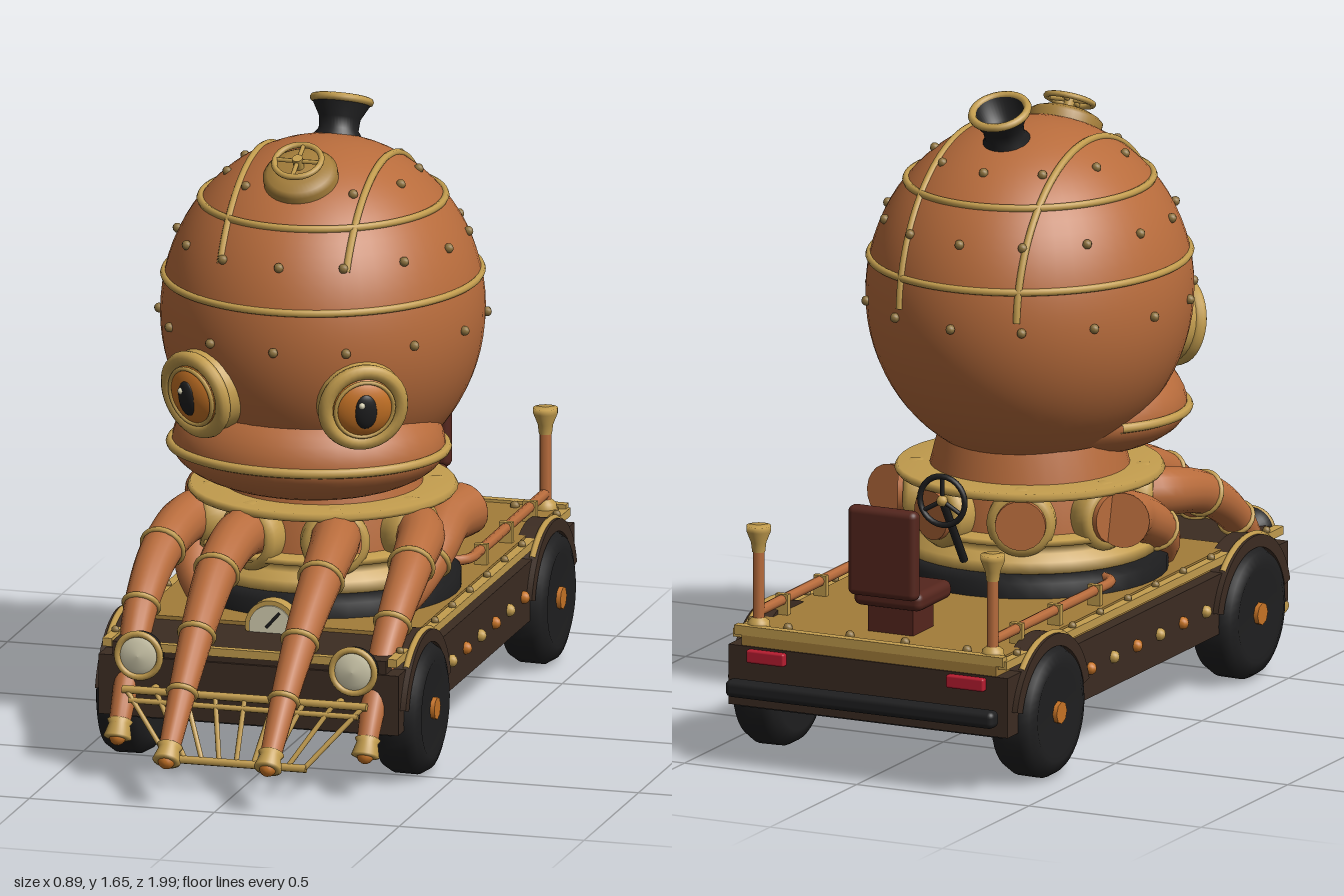
import * as THREE from 'three';
import { RoundedBoxGeometry } from 'three/addons/geometries/RoundedBoxGeometry.js';

const V = (x, y, z) => new THREE.Vector3(x, y, z);
const Y = V(0, 1, 0), Z = V(0, 0, 1);

function material(name, color) {
  const m = new THREE.MeshStandardMaterial({ color });
  m.name = name;
  return m;
}

export function createModel() {
  const copper = material('copper', 0xb86c3c), gold = material('gold', 0xc39d4e);
  const brass = material('deck brass', 0xa37d3a), rivetMat = material('dull rivet', 0x8f7440);
  const brown = material('dark wood', 0x3c2c22), black = material('black', 0x1f1f20);
  const leather = material('leather', 0x55261d), cream = material('cream', 0xd6d0b2);
  const red = material('red', 0xb81c30), orange = material('orange', 0xc87426);
  const model = new THREE.Group();
  model.name = 'octopusCar';

  const add = (name, geo, mat, pos = [0, 0, 0], rot = [0, 0, 0], parent = model) => {
    const m = new THREE.Mesh(geo, mat);
    m.name = name;
    m.position.set(...pos);
    m.rotation.set(...rot);
    parent.add(m);
    return m;
  };
  const group = (name, pos, from, dir) => {
    const g = new THREE.Group();
    g.name = name;
    g.position.copy(pos);
    g.quaternion.setFromUnitVectors(from, dir.clone().normalize());
    model.add(g);
    return g;
  };
  const box = (name, w, h, d, mat, pos) => add(name, new THREE.BoxGeometry(w, h, d), mat, pos);
  const rounded = (name, w, h, d, r, mat, pos) => add(name, new RoundedBoxGeometry(w, h, d, 3, r), mat, pos);
  const tube = (name, pts, r, mat, seg = 32, closed = false) =>
    add(name, new THREE.TubeGeometry(new THREE.CatmullRomCurve3(pts, closed), seg, r, 8, closed), mat);
  const bar = (name, a, b, r, mat) => {
    const d = b.clone().sub(a), g = group(name, a.clone().lerp(b, 0.5), Y, d);
    add(name, new THREE.CylinderGeometry(r, r, d.length(), 8), mat, [0, 0, 0], [0, 0, 0], g);
  };
  const lathe = (name, pts, mat, parent = model, pos = [0, 0, 0]) =>
    add(name, new THREE.LatheGeometry(pts.map(p => new THREE.Vector2(...p)), 40), mat, pos, [0, 0, 0], parent);
  const rivetGeo = new THREE.SphereGeometry(1, 8, 6);
  const rivet = (p, r, mat = rivetMat) => add('rivet', rivetGeo, mat, p).scale.setScalar(r);

  // Head
  const R = V(0.42, 0.455, 0.455), CY = 1.1;
  add('head', new THREE.SphereGeometry(1, 56, 40), copper, [0, CY, 0]).scale.copy(R);
  const ringScale = y => Math.sqrt(1 - ((y - CY) / R.y) ** 2);
  const onHead = (y, a, k = 1) => V(R.x * ringScale(y) * k * Math.sin(a), y, R.z * ringScale(y) * k * Math.cos(a));
  for (const y of [1.2, 1.4]) {
    const pts = [];
    for (let i = 0; i < 48; i++) pts.push(onHead(y, i / 48 * Math.PI * 2));
    tube('headBand', pts, 0.01, gold, 96, true);
  }
  for (const [y, n] of [[1.095, 14], [1.31, 14], [1.47, 10]])
    for (let i = 0; i < n; i++) rivet(onHead(y, i / n * Math.PI * 2, 1.01).toArray(), 0.013);
  for (const s of [-1, 1]) {
    const pts = [], k = Math.sqrt(1 - (0.17 / R.x) ** 2) * R.y;
    for (let i = 0; i <= 24; i++) {
      const a = 0.5 + (Math.PI - 0.55) * i / 24;
      pts.push(V(s * 0.17, CY + k * Math.sin(a), k * Math.cos(a)));
    }
    tube('headSeam', pts, 0.01, gold, 48);
  }

  // Jaw bulge with a lip band around its front
  const jaw = (name, ry, start) =>
    add(name, new THREE.SphereGeometry(1, 40, 14, 0, Math.PI * 2, start, Math.PI / 2), copper, [0, 0.77, 0.13])
      .scale.set(0.36, ry, 0.315);
  jaw('upperJaw', 0.2, 0);
  jaw('lowerJaw', 0.13, Math.PI / 2);
  const lip = [];
  for (let i = 0; i <= 24; i++) {
    const a = (i / 24 - 0.5) * Math.PI * 1.4;
    lip.push(V(0.362 * Math.sin(a), 0.77, 0.13 + 0.315 * Math.cos(a)));
  }
  tube('lipBand', lip, 0.013, gold, 48);

  // Eyes
  for (const s of [-1, 1]) {
    const eye = group('eye', V(s * 0.212, 0.957, 0.375), Z, V(s * 0.48, -0.17, 0.85));
    add('eyeSocket', new THREE.CylinderGeometry(0.108, 0.115, 0.06, 32, 1, true), gold, [0, 0, 0], [Math.PI / 2, 0, 0], eye);
    add('eyeRim', new THREE.TorusGeometry(0.1, 0.02, 10, 36), gold, [0, 0, 0.03], [0, 0, 0], eye);
    add('iris', new THREE.SphereGeometry(0.086, 28, 16), orange, [0, 0, 0.025], [0, 0, 0], eye).scale.z = 0.5;
    add('irisRim', new THREE.TorusGeometry(0.077, 0.006, 6, 32), gold, [0, 0, 0.047], [0, 0, 0], eye);
    add('pupil', new THREE.SphereGeometry(1, 20, 14), black, [0, 0, 0.06], [0, 0, 0], eye).scale.set(0.031, 0.048, 0.014);
    add('glint', new THREE.SphereGeometry(0.009, 8, 6), cream, [-0.012, 0.022, 0.07], [0, 0, 0], eye);
  }

  // Chimney and hatch
  const chimney = group('chimney', V(0, 1.495, -0.125), Y, V(0, 0.925, -0.38));
  lathe('chimneyPipe', [[0.07, 0], [0.066, 0.03], [0.052, 0.05], [0.054, 0.08], [0.076, 0.12], [0.076, 0.13], [0.062, 0.13], [0.045, 0.07], [0, 0.07]], black, chimney);
  add('chimneyRim', new THREE.TorusGeometry(0.073, 0.011, 8, 32), gold, [0, 0.128, 0], [Math.PI / 2, 0, 0], chimney);
  const hatch = group('hatch', V(0, 1.495, 0.2), Y, V(0, 0.88, 0.47));
  lathe('hatchBase', [[0.098, -0.02], [0.098, 0.02], [0.085, 0.03], [0.06, 0.04], [0, 0.045]], brass, hatch);
  add('hatchWheel', new THREE.TorusGeometry(0.062, 0.008, 8, 28), gold, [0, 0.065, 0], [Math.PI / 2, 0, 0], hatch);
  add('hatchHub', new THREE.CylinderGeometry(0.014, 0.014, 0.05, 12), gold, [0, 0.05, 0], [0, 0, 0], hatch);
  for (const a of [0, Math.PI / 2])
    add('hatchSpoke', new THREE.CylinderGeometry(0.006, 0.006, 0.12, 6), gold, [0, 0.065, 0], [Math.PI / 2, 0, a], hatch);

  // Turret and collar
  lathe('turretBase', [[0.36, 0.35], [0.36, 0.4], [0.34, 0.42], [0, 0.42]], black);
  lathe('lowerCollar', [[0.31, 0.41], [0.335, 0.42], [0.335, 0.45], [0.3, 0.465], [0.3, 0.485], [0.325, 0.49], [0.325, 0.505], [0.27, 0.51]], gold);
  lathe('neck', [[0.28, 0.5], [0.27, 0.6], [0.24, 0.72]], copper);
  lathe('upperCollar', [[0.26, 0.61], [0.345, 0.615], [0.352, 0.625], [0.345, 0.637], [0.24, 0.64]], gold);

  // Tentacles, one side mirrored to the other
  const tentacles = [
    [[0.08, 0.555, 0.18], [0.125, 0.565, 0.31], [0.14, 0.52, 0.47], [0.14, 0.42, 0.64], [0.138, 0.3, 0.79], [0.137, 0.18, 0.915], [0.137, 0.135, 0.96]],
    [[0.2, 0.555, 0.07], [0.3, 0.56, 0.14], [0.335, 0.52, 0.32], [0.34, 0.42, 0.5], [0.335, 0.3, 0.62], [0.335, 0.18, 0.71], [0.335, 0.13, 0.74]],
    [[0.34, 0.55, -0.14], [0.32, 0.54, -0.05], [0.32, 0.49, 0.07], [0.29, 0.41, 0.18], [0.2, 0.3, 0.25], [0.14, 0.18, 0.27], [0.135, 0.12, 0.27]],
  ];
  const r0 = 0.072, r1 = 0.027;
  for (const s of [-1, 1]) {
    for (const path of tentacles) {
      const curve = new THREE.CatmullRomCurve3(path.map(p => V(s * p[0], p[1], p[2])));
      const seg = 40, sides = 16, geo = new THREE.TubeGeometry(curve, seg, r0, sides);
      const pos = geo.attributes.position, v = V(0, 0, 0);
      for (let i = 0; i <= seg; i++) {
        const c = curve.getPointAt(i / seg), k = THREE.MathUtils.lerp(1, r1 / r0, i / seg);
        for (let j = 0; j <= sides; j++) {
          const n = i * (sides + 1) + j;
          v.fromBufferAttribute(pos, n).sub(c).multiplyScalar(k).add(c);
          pos.setXYZ(n, v.x, v.y, v.z);
        }
      }
      add('tentacle', geo, copper);
      const start = group('tentacleRoot', curve.getPointAt(0), Z, curve.getTangentAt(0));
      add('rootCap', new THREE.CircleGeometry(r0, 20), copper, [0, 0, 0], [0, Math.PI, 0], start);
      for (const t of [0.36, 0.6, 0.8]) {
        const g = group('tentacleBand', curve.getPointAt(t), Z, curve.getTangentAt(t));
        add('band', new THREE.TorusGeometry(THREE.MathUtils.lerp(r0, r1, t), 0.008, 8, 20), gold, [0, 0, 0], [0, 0, 0], g);
      }
      const tip = group('nozzle', curve.getPointAt(1), Y, curve.getTangentAt(1));
      lathe('nozzleBell', [[0.026, -0.03], [0.034, -0.025], [0.028, -0.015], [0.037, 0.02], [0.026, 0.024], [0, 0.024]], gold, tip);
      add('nozzleTip', new THREE.SphereGeometry(0.023, 12, 8), orange, [0, 0.018, 0], [0, 0, 0], tip);
    }
    // Root sleeves around the collar
    for (let k = 0; k < 4; k++) {
      const a = (22.5 + 45 * k) * Math.PI / 180, d = V(s * Math.sin(a), 0, Math.cos(a));
      const g = group('rootSleeve', d.clone().multiplyScalar(0.28).setY(0.55), Y, d);
      lathe('sleeve', [[0.078, -0.05], [0.09, 0.0], [0.09, 0.03], [0.08, 0.045], [0.066, 0.045]], gold, g);
      if (k > 1) add('stub', new THREE.CylinderGeometry(0.066, 0.07, 0.1, 20), copper, [0, 0.01, 0], [0, 0, 0], g);
    }
  }

  // Chassis
  box('chassis', 0.81, 0.16, 1.62, brown, [0, 0.235, -0.125]);
  box('floor', 0.76, 0.012, 1.58, black, [0, 0.153, -0.125]);
  box('deck', 0.74, 0.05, 1.36, brass, [0, 0.335, -0.25]);
  box('hood', 0.74, 0.04, 0.25, brown, [0, 0.33, 0.552]);
  box('frontTrim', 0.56, 0.022, 0.02, gold, [0, 0.345, 0.685]);
  box('rearTrim', 0.78, 0.025, 0.025, gold, [0, 0.355, -0.92]);
  for (const s of [-1, 1]) {
    box('sideTrim', 0.025, 0.022, 1.6, gold, [s * 0.385, 0.345, -0.125]);
    for (let i = 0; i < 6; i++) rivet([s * 0.408, 0.235, 0.205 - 0.133 * i], 0.017, i % 2 ? orange : gold);
    for (let i = 0; i < 10; i++) rivet([s * 0.385, 0.36, 0.6 - 0.16 * i], 0.011);
    for (const x of [0.08, 0.26]) rivet([s * x, 0.363, -0.88], 0.013);

    // Wheels and fenders
    for (const z of [0.46, -0.7]) {
      const wheel = group('wheel', V(s * 0.375, 0.175, z), Y, V(s, 0, 0));
      lathe('tyre', [[0, -0.06], [0.13, -0.065], [0.16, -0.055], [0.174, -0.03], [0.175, 0.03], [0.16, 0.055], [0.13, 0.065], [0.11, 0.058], [0, 0.058]], black, wheel);
      add('hub', new THREE.CylinderGeometry(0.03, 0.03, 0.02, 8), orange, [0, 0.06, 0], [0, 0, 0], wheel);
      const arch = new THREE.Shape();
      arch.absarc(0, 0, 0.215, 0.25, Math.PI - 0.25, false);
      arch.absarc(0, 0, 0.182, Math.PI - 0.25, 0.25, true);
      add('fender', new THREE.ExtrudeGeometry(arch, { depth: 0.07, bevelEnabled: false, curveSegments: 24 }), brown, [s * 0.385 - 0.035, 0.165, z], [0, Math.PI / 2, 0]);
      add('fenderTrim', new THREE.TorusGeometry(0.215, 0.009, 6, 24, Math.PI * 0.5), gold, [s * 0.405, 0.165, z], [0, Math.PI / 2, 0])
        .rotateZ(Math.PI / 4);
    }

    // Side pipes and rear posts
    tube('sidePipe', [V(s * 0.34, 0.4, -0.89), V(s * 0.34, 0.4, -0.6), V(s * 0.34, 0.4, -0.3), V(s * 0.33, 0.4, -0.19), V(s * 0.25, 0.4, -0.15)], 0.014, copper);
    for (const z of [-0.75, -0.53, -0.3]) box('pipeClamp', 0.036, 0.055, 0.016, gold, [s * 0.34, 0.388, z]);
    bar('post', V(s * 0.34, 0.36, -0.89), V(s * 0.34, 0.58, -0.89), 0.016, copper);
    lathe('postFunnel', [[0.017, 0.56], [0.02, 0.585], [0.032, 0.615], [0.032, 0.63], [0, 0.63]], gold, model, [s * 0.34, 0, -0.89]);
    lathe('postFoot', [[0.03, 0.36], [0.028, 0.375], [0.016, 0.385]], gold, model, [s * 0.34, 0, -0.89]);

    // Lamps
    const lamp = group('headlight', V(s * 0.29, 0.325, 0.69), Y, Z);
    lathe('lampShell', [[0.03, -0.05], [0.06, -0.01], [0.064, 0.02], [0.054, 0.022]], black, lamp);
    add('lampRim', new THREE.TorusGeometry(0.058, 0.009, 8, 28), gold, [0, 0.02, 0], [Math.PI / 2, 0, 0], lamp);
    lathe('lens', [[0.056, 0.018], [0.035, 0.028], [0, 0.032]], cream, lamp);
    rounded('tailLight', 0.11, 0.035, 0.022, 0.006, red, [s * 0.29, 0.293, -0.945]);
    box('bumperBracket', 0.03, 0.03, 0.05, black, [s * 0.25, 0.21, -0.95]);
  }
  rounded('rearBumper', 0.78, 0.046, 0.046, 0.016, black, [0, 0.21, -0.97]);

  // Cowcatcher
  const top = x => V(x, 0.235, 0.72), low = x => V(x, 0.08, 0.8);
  bar('grilleTop', top(-0.33), top(0.33), 0.011, gold);
  bar('grilleRail', V(-0.31, 0.21, 0.733), V(0.31, 0.21, 0.733), 0.008, gold);
  bar('grilleBottom', low(-0.19), low(0.19), 0.011, gold);
  for (let i = -4; i <= 4; i++) bar('grilleSlat', top(i * 0.08), low(i * 0.046), 0.007, gold);
  for (const s of [-1, 1]) bar('grilleMount', V(s * 0.25, 0.235, 0.67), top(s * 0.25), 0.011, gold);

  // Dial in front of the turret
  const dial = group('dial', V(0, 0.365, 0.46), Y, Z);
  add('dialCase', new THREE.CylinderGeometry(0.07, 0.07, 0.04, 28), gold, [0, 0, 0], [0, 0, 0], dial);
  add('dialFace', new THREE.CylinderGeometry(0.058, 0.058, 0.006, 28), cream, [0, 0.022, 0], [0, 0, 0], dial);
  bar('needle', V(-0.01, 0.365, 0.488), V(0.025, 0.405, 0.488), 0.004, black);

  // Driver's seat and steering wheel
  box('seatPedestal', 0.13, 0.08, 0.12, leather, [0, 0.395, -0.745]);
  rounded('seatCushion', 0.2, 0.05, 0.19, 0.02, leather, [0, 0.455, -0.735]);
  rounded('seatBack', 0.2, 0.24, 0.042, 0.018, leather, [0, 0.585, -0.842]);
  bar('steeringColumn', V(0, 0.46, -0.38), V(0, 0.645, -0.503), 0.011, black);
  add('steeringWheel', new THREE.TorusGeometry(0.065, 0.008, 8, 28), black, [0, 0.647, -0.505]);
  for (let i = 0; i < 3; i++) {
    const a = Math.PI / 2 + i * Math.PI * 2 / 3;
    bar('wheelSpoke', V(0, 0.647, -0.505), V(0.063 * Math.cos(a), 0.647 + 0.063 * Math.sin(a), -0.505), 0.006, black);
  }
  add('steeringHub', new THREE.SphereGeometry(0.015, 10, 8), gold, [0, 0.647, -0.507]);

  // Lathe walls and caps are open surfaces
  for (const m of [copper, gold, brass, black, cream]) m.side = THREE.DoubleSide;
  return model;
}
